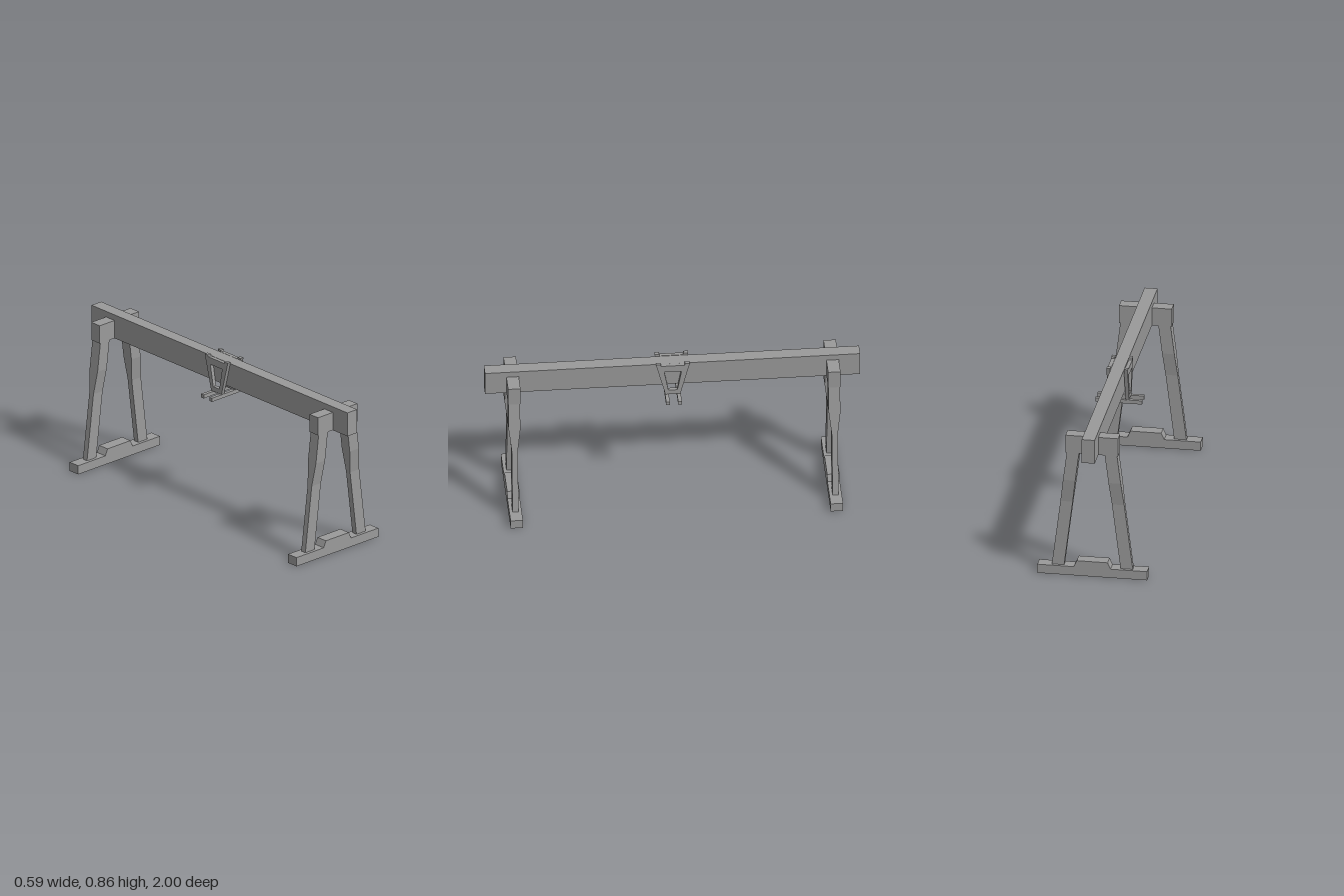
import * as THREE from 'three';

const material = new THREE.MeshStandardMaterial({ color: 0x9a9a9a, side: THREE.DoubleSide, flatShading: true });

function add(parent, name, geometry, x = 0, y = 0, z = 0) {
  const mesh = new THREE.Mesh(geometry, material);
  mesh.name = name;
  mesh.position.set(x, y, z);
  parent.add(mesh);
  return mesh;
}

const box = (w, h, d) => new THREE.BoxGeometry(w, h, d);

// Extrude a 2D outline, centred on its depth
function slab(points, depth, hole) {
  const shape = new THREE.Shape(points.map(p => new THREE.Vector2(...p)));
  if (hole) shape.holes.push(new THREE.Path(hole.map(p => new THREE.Vector2(...p))));
  const g = new THREE.ExtrudeGeometry(shape, { depth, bevelEnabled: false });
  return g.translate(0, 0, -depth / 2);
}

// Drop the faces lying on the lowest level, leaving a hollow underside
function openBottom(geometry) {
  const g = geometry.index ? geometry.toNonIndexed() : geometry;
  g.computeBoundingBox();
  const low = g.boundingBox.min.y + 1e-5;
  const p = g.attributes.position;
  const kept = [];
  for (let i = 0; i < p.count; i += 3) {
    if ([0, 1, 2].every(k => p.getY(i + k) < low)) continue;
    for (let k = 0; k < 3; k++) kept.push(p.getX(i + k), p.getY(i + k), p.getZ(i + k));
  }
  const out = new THREE.BufferGeometry();
  out.setAttribute('position', new THREE.Float32BufferAttribute(kept, 3));
  out.computeVertexNormals();
  return out;
}

// Leaning leg: steps of [height, half depth], thin below and thick above
function legGeometry(side) {
  const steps = [[0.05, 0.016], [0.42, 0.016], [0.55, 0.031], [0.72, 0.031]];
  const g = new THREE.BoxGeometry(1, 1, 1, 1, 3, 1);
  const p = g.attributes.position;
  for (let i = 0; i < p.count; i++) {
    const [y, d] = steps[Math.round((p.getY(i) + 0.5) * 3)];
    const centre = 0.185 - (y - 0.05) * 0.125;
    p.setXYZ(i, side * centre + p.getX(i) * 0.066, y, p.getZ(i) * 2 * d);
  }
  g.computeVertexNormals();
  return g;
}

const shift = 0.002; // beam, legs and caps sit slightly off the feet's centre

function trestle() {
  const group = new THREE.Group();
  const foot = [[-0.296, 0], [0.296, 0], [0.296, 0.05], [0.099, 0.05], [0.083, 0.086],
    [-0.083, 0.086], [-0.099, 0.05], [-0.296, 0.05]];
  add(group, 'foot', openBottom(slab(foot, 0.066)));
  for (const side of [1, -1]) {
    add(group, side > 0 ? 'leftLeg' : 'rightLeg', legGeometry(side), shift);
    add(group, side > 0 ? 'leftCap' : 'rightCap', openBottom(box(0.107, 0.102, 0.066)), side * 0.0885 + shift, 0.761, 0);
  }
  return group;
}

function trolley() {
  const group = new THREE.Group();
  group.name = 'trolley';
  // Tapered hanger frame, its two arms rising a little above the beam
  const outline = [[-0.04, 0.658], [0.04, 0.658], [0.09, 0.855], [0.065, 0.855], [0.0625, 0.845],
    [-0.0625, 0.845], [-0.065, 0.855], [-0.09, 0.855]];
  const opening = [[-0.024, 0.685], [-0.046, 0.806], [0.046, 0.806], [0.024, 0.685]];
  for (const side of [1, -1]) {
    const frame = add(group, side > 0 ? 'leftHanger' : 'rightHanger', slab(outline, 0.02, opening), side * 0.047 + shift / 2, 0, 0);
    frame.rotation.y = Math.PI / 2;
    // Cross rails under the hangers
    add(group, side > 0 ? 'frontRail' : 'backRail', box(0.252, 0.021, 0.02), 0, 0.6475, side * 0.032);
  }
  return group;
}

export function createModel() {
  const model = new THREE.Group();
  model.name = 'gantry';
  add(model, 'beam', box(0.07, 0.135, 2), shift, 0.777, 0);
  for (const side of [1, -1]) {
    const t = trestle();
    t.name = side > 0 ? 'frontTrestle' : 'backTrestle';
    t.position.z = side * 0.853;
    model.add(t);
  }
  model.add(trolley());
  return model;
}
